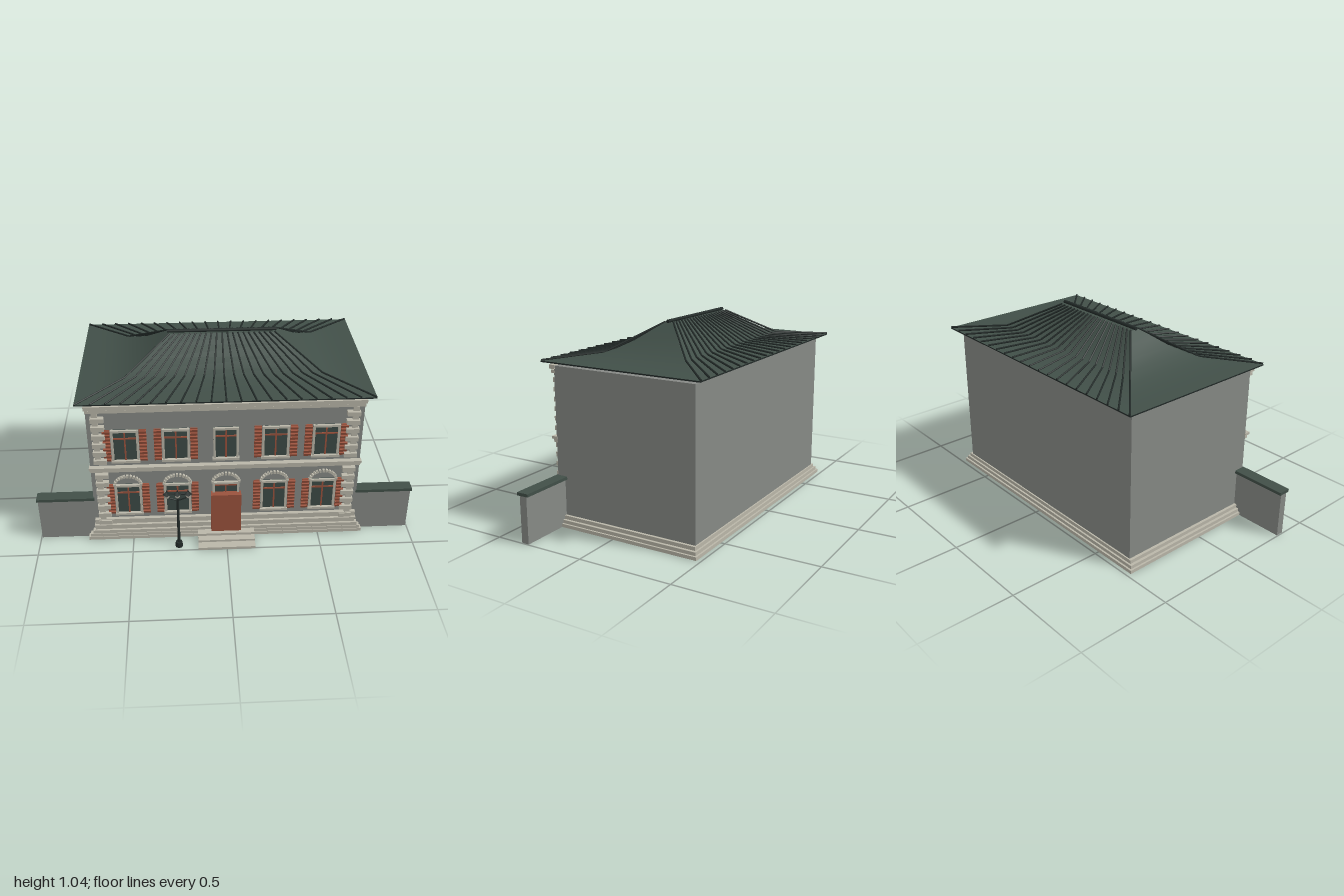
import * as THREE from 'three';

const mat = (name, color, extra = {}) => {
  const m = new THREE.MeshStandardMaterial({ color, ...extra });
  m.name = name;
  return m;
};

export function createModel() {
  const root = new THREE.Group();
  root.name = 'townHouse';
  const wall = mat('wallGrey', 0x868985);
  const trim = mat('paleStone', 0xb9b6a8);
  const slate = mat('roofGreen', 0x414f48);
  const dark = mat('darkIron', 0x222a28);
  const rust = mat('rustPaint', 0x9a523d);
  const glass = mat('windowGlass', 0x3d4a46);

  const add = (name, geo, material, parent = root) => {
    const mesh = new THREE.Mesh(geo, material);
    mesh.name = name;
    parent.add(mesh);
    return mesh;
  };
  // Box given by its low and high limits on each axis
  const box = (name, m, x0, x1, y0, y1, z0, z1, parent = root) => {
    const b = add(name, new THREE.BoxGeometry(x1 - x0, y1 - y0, z1 - z0), m, parent);
    b.position.set((x0 + x1) / 2, (y0 + y1) / 2, (z0 + z1) / 2);
    return b;
  };
  // Round bar between two points
  const bar = (name, m, a, b, r, parent = root, sides = 6) => {
    const p = new THREE.Vector3(...a), q = new THREE.Vector3(...b);
    const d = q.clone().sub(p);
    const c = add(name, new THREE.CylinderGeometry(r, r, d.length(), sides), m, parent);
    c.position.copy(p).add(q).multiplyScalar(0.5);
    c.quaternion.setFromUnitVectors(new THREE.Vector3(0, 1, 0), d.normalize());
    return c;
  };
  const group = (name, x = 0, y = 0, z = 0) => {
    const g = new THREE.Group();
    g.name = name;
    g.position.set(x, y, z);
    root.add(g);
    return g;
  };

  // Main block and stepped plinth
  box('mainWalls', wall, -0.7, 0.7, 0.04, 0.83, -0.45, 0.36);
  box('plinthLow', trim, -0.74, 0.74, 0, 0.018, -0.478, 0.39);
  box('plinthMiddle', trim, -0.73, 0.73, 0.018, 0.036, -0.468, 0.386);
  box('plinthTop', trim, -0.715, 0.715, 0.036, 0.055, -0.458, 0.382);

  // Horizontal bands on the front: base courses, storey course, cornice
  const bands = [
    [0.055, 0.08, 0.702, 0.37], [0.082, 0.092, 0.705, 0.384], [0.096, 0.12, 0.7, 0.375],
    [0.12, 0.128, 0.7, 0.38], [0.434, 0.45, 0.7, 0.378], [0.452, 0.466, 0.705, 0.388],
    [0.792, 0.808, 0.7, 0.38], [0.813, 0.834, 0.705, 0.388],
  ];
  for (const [y0, y1, x, z] of bands) box('frontBand', trim, -x, x, y0, y1, 0.355, z);

  // Corner stones, alternately wide and narrow
  for (const s of [-1, 1]) {
    for (const [start, count] of [[0.1, 13], [0.49, 12]]) {
      for (let i = 0; i < count; i++) {
        const y = start + i * 0.025, wide = i % 2 === 0;
        const a = s * (wide ? 0.61 : 0.64), b = s * (wide ? 0.677 : 0.67);
        box('cornerStone', trim, Math.min(a, b), Math.max(a, b), y, y + 0.024, 0.355, wide ? 0.388 : 0.376);
      }
    }
  }

  // Windows with frame, glazing bars and optional shutters
  function addWindow(x, y0, y1, w, shutters) {
    const g = group('window', x, 0, 0.36);
    const h = w / 2, t = 0.012;
    box('glassPane', glass, -h, h, y0, y1, 0, 0.004, g);
    box('frameSide', trim, -h, -h + t, y0, y1, 0, 0.014, g);
    box('frameSide', trim, h - t, h, y0, y1, 0, 0.014, g);
    box('lintel', trim, -h, h, y1 - t, y1, 0, 0.016, g);
    box('sill', trim, -h - 0.004, h + 0.004, y0 - 0.006, y0 + 0.006, 0, 0.02, g);
    box('mullion', rust, -0.004, 0.004, y0 + 0.006, y1 - t, 0.002, 0.009, g);
    const bar1 = y0 + (y1 - y0) * 0.72;
    box('transom', rust, -h + t, h - t, bar1 - 0.004, bar1 + 0.004, 0.002, 0.009, g);
    if (!shutters) return;
    for (const s of [-1, 1]) {
      const c = s * (h + 0.022);
      box('shutterPanel', rust, c - 0.018, c + 0.018, y0, y1, 0, 0.007, g);
      for (let i = 0; i < 9; i++) {
        const y = y0 + 0.003 + i * (y1 - y0) / 9;
        box('shutterSlat', rust, c - 0.019, c + 0.019, y, y + 0.013, 0.006, 0.015, g).rotation.x = 0.25;
      }
    }
  }
  // Ring of small stones above a ground-floor window
  function addArch(x) {
    const g = group('windowArch', x, 0.34, 0.36);
    const n = 13;
    for (let i = 0; i < n; i++) {
      const a = Math.PI * (i + 0.5) / n;
      const stone = add('archStone', new THREE.BoxGeometry(0.011, 0.014, 0.022), trim, g);
      stone.position.set(Math.cos(a) * 0.07, Math.sin(a) * 0.058, 0.004);
      stone.rotation.z = a - Math.PI / 2;
    }
  }
  for (const x of [-0.513, -0.255, 0, 0.255, 0.513]) {
    addWindow(x, 0.497, 0.684, x ? 0.14 : 0.13, x !== 0);
    if (x) addWindow(x, 0.16, 0.346, 0.14, true);
    else addWindow(0, 0.27, 0.346, 0.14, false);
    addArch(x);
  }

  // Door and entrance steps
  box('frontDoor', rust, -0.08, 0.08, 0.04, 0.28, 0.355, 0.4);
  box('entranceStepLow', trim, -0.152, 0.152, 0, 0.014, 0.36, 0.504);
  box('entranceStepMiddle', trim, -0.152, 0.152, 0.014, 0.026, 0.36, 0.458);
  box('entranceStepTop', trim, -0.152, 0.152, 0.026, 0.04, 0.36, 0.42);

  // Garden walls with coping
  for (const s of [-1, 1]) {
    const lim = (a, b) => (s > 0 ? [a, b] : [-b, -a]);
    box('gardenWall', wall, ...lim(0.69, 0.995), 0, 0.246, 0.315, 0.356);
    box('wallCoping', slate, ...lim(0.695, 1), 0.246, 0.262, 0.303, 0.368);
  }

  // Concave hipped roof: each slope is a strip of cross-sections from eave to ridge
  const zc = -0.0475;
  const rise = [[0, 0.858], [0.15, 0.859], [0.3, 0.862], [0.45, 0.874], [0.6, 0.899], [0.75, 0.936], [0.88, 0.98], [1, 1.02]];
  const halfX = (t) => 0.745 - 0.465 * t, halfZ = (t) => 0.4525 - 0.4275 * t;
  const corners = [[-1, 1], [1, 1], [1, -1], [-1, -1]];
  corners.forEach((c, k) => {
    const d = corners[(k + 1) % 4], pos = [], idx = [];
    rise.forEach(([t, y], i) => {
      for (const [sx, sz] of [c, d]) pos.push(sx * halfX(t), y, zc + sz * halfZ(t));
      if (i) {
        const b = i * 2;
        idx.push(b - 2, b - 1, b + 1, b - 2, b + 1, b);
      }
    });
    const geo = new THREE.BufferGeometry();
    geo.setAttribute('position', new THREE.Float32BufferAttribute(pos, 3));
    geo.setIndex(idx);
    geo.computeVertexNormals();
    add('roofSlope', geo, slate);
  });
  box('eavesBoard', dark, -0.745, 0.745, 0.851, 0.8575, zc - 0.4525, zc + 0.4525);
  box('ridgeDeck', slate, -0.28, 0.28, 1.01, 1.02, zc - 0.025, zc + 0.025);
  bar('ridgeRoll', dark, [-0.287, 1.027, zc + 0.002], [0.287, 1.027, zc + 0.002], 0.009, root, 10);

  // Roof ribs fanning out over the front and back slopes
  const ribs = 21;
  for (const s of [-1, 1]) {
    for (let i = 0; i < ribs; i++) {
      const u = (i / (ribs - 1)) * 2 - 1;
      const at = (t, y) => [u * (halfX(t) - 0.004), y, zc + s * halfZ(t)];
      const low = at(0, 0.861), mid = at(0.51, 0.886), top = at(1, 1.022);
      bar('roofRib', dark, low, mid, 0.005);
      bar('roofRib', dark, mid, top, 0.005);
    }
  }

  // Street lamp with three lanterns
  const lamp = group('streetLamp', -0.255, 0, 0.463);
  const drum = (name, m, r0, r1, y0, y1, x, sides) => {
    const c = add(name, new THREE.CylinderGeometry(r1, r0, y1 - y0, sides), m, lamp);
    c.position.set(x, (y0 + y1) / 2, 0);
  };
  drum('lampFoot', dark, 0.02, 0.018, 0, 0.03, 0, 8);
  drum('lampPost', dark, 0.008, 0.006, 0.03, 0.335, 0, 8);
  bar('lampCrossbar', dark, [-0.055, 0.345, 0], [0.055, 0.345, 0], 0.004, lamp);
  for (const x of [-0.055, 0, 0.055]) {
    drum('lanternGlass', trim, 0.011, 0.016, 0.324, 0.346, x, 4);
    drum('lanternRoof', dark, 0.023, 0.004, 0.344, 0.361, x, 4);
    drum('lanternFinial', dark, 0.004, 0.004, 0.36, 0.368, x, 6);
    if (x) bar('lampBrace', dark, [0, 0.305, 0], [x, 0.326, 0], 0.0035, lamp);
  }
  return root;
}
